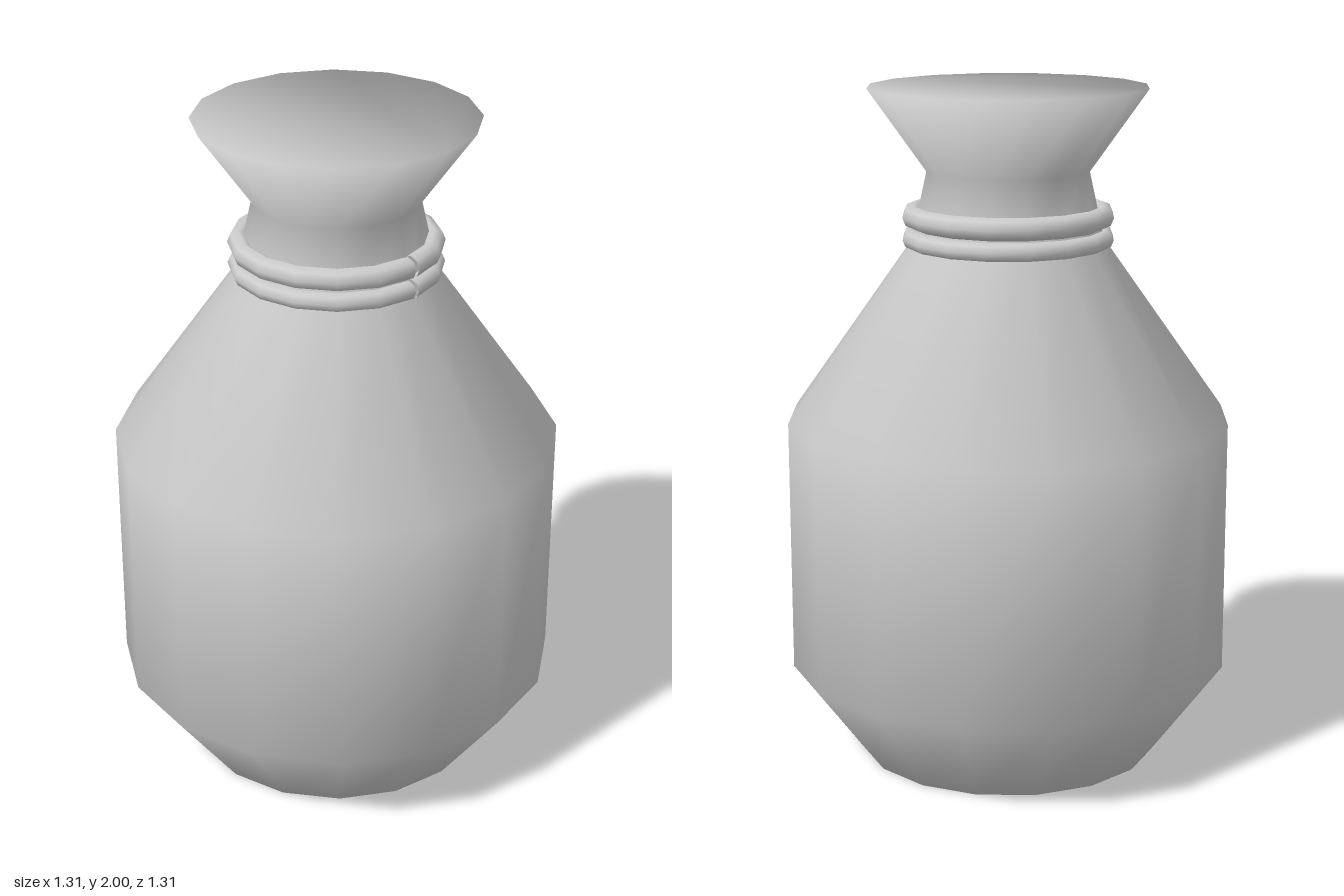
import * as THREE from 'three';

const SIDES = 16;

// Closed solid of revolution; normals are averaged across every ring, caps included
function smoothSolid(profile) {
  const positions = [], normals = [], index = [];
  const last = profile.length - 1;
  const faceNormal = (i) => {
    if (i < 0) return new THREE.Vector2(0, -1);
    if (i >= last) return new THREE.Vector2(0, 1);
    const [r0, y0] = profile[i], [r1, y1] = profile[i + 1];
    return new THREE.Vector2(y1 - y0, r0 - r1).normalize();
  };
  profile.forEach(([r, y], i) => {
    const n = faceNormal(i - 1).add(faceNormal(i)).normalize();
    for (let j = 0; j < SIDES; j++) {
      const a = (j / SIDES) * Math.PI * 2, c = Math.cos(a), s = Math.sin(a);
      positions.push(r * c, y, r * s);
      normals.push(n.x * c, n.y, n.x * s);
    }
  });
  // side walls
  for (let i = 0; i < last; i++) {
    for (let j = 0; j < SIDES; j++) {
      const k = (j + 1) % SIDES, lo = i * SIDES, hi = lo + SIDES;
      index.push(lo + j, hi + j, lo + k, lo + k, hi + j, hi + k);
    }
  }
  // flat bottom and top
  const top = last * SIDES;
  for (let j = 1; j < SIDES - 1; j++) {
    index.push(0, j, j + 1, top, top + j + 1, top + j);
  }
  const g = new THREE.BufferGeometry();
  g.setAttribute('position', new THREE.Float32BufferAttribute(positions, 3));
  g.setAttribute('normal', new THREE.Float32BufferAttribute(normals, 3));
  g.setIndex(index);
  return g;
}

export function createModel() {
  const group = new THREE.Group();
  group.name = 'tiedSack';
  const grey = new THREE.MeshStandardMaterial({ color: 0xcccccc, side: THREE.DoubleSide });
  grey.name = 'plain grey';

  // sack: base, belly, shoulder, tied neck and flared mouth
  const sack = new THREE.Mesh(smoothSolid([
    [0.445, 0], [0.655, 0.28], [0.655, 1.03], [0.287, 1.55], [0.24, 1.76], [0.41, 2],
  ]), grey);
  sack.name = 'sack';
  group.add(sack);

  // two cord loops, each with a narrow seam on the left side
  const gap = 0.04;
  for (const [name, y, tube] of [['upperCord', 1.628, 0.033], ['lowerCord', 1.563, 0.028]]) {
    const g = new THREE.TorusGeometry(0.312 - tube, tube, 8, SIDES, Math.PI * 2 - gap);
    g.rotateZ(gap / 2).rotateX(Math.PI / 2);
    const cord = new THREE.Mesh(g, grey);
    cord.name = name;
    cord.position.y = y;
    group.add(cord);
  }
  return group;
}
